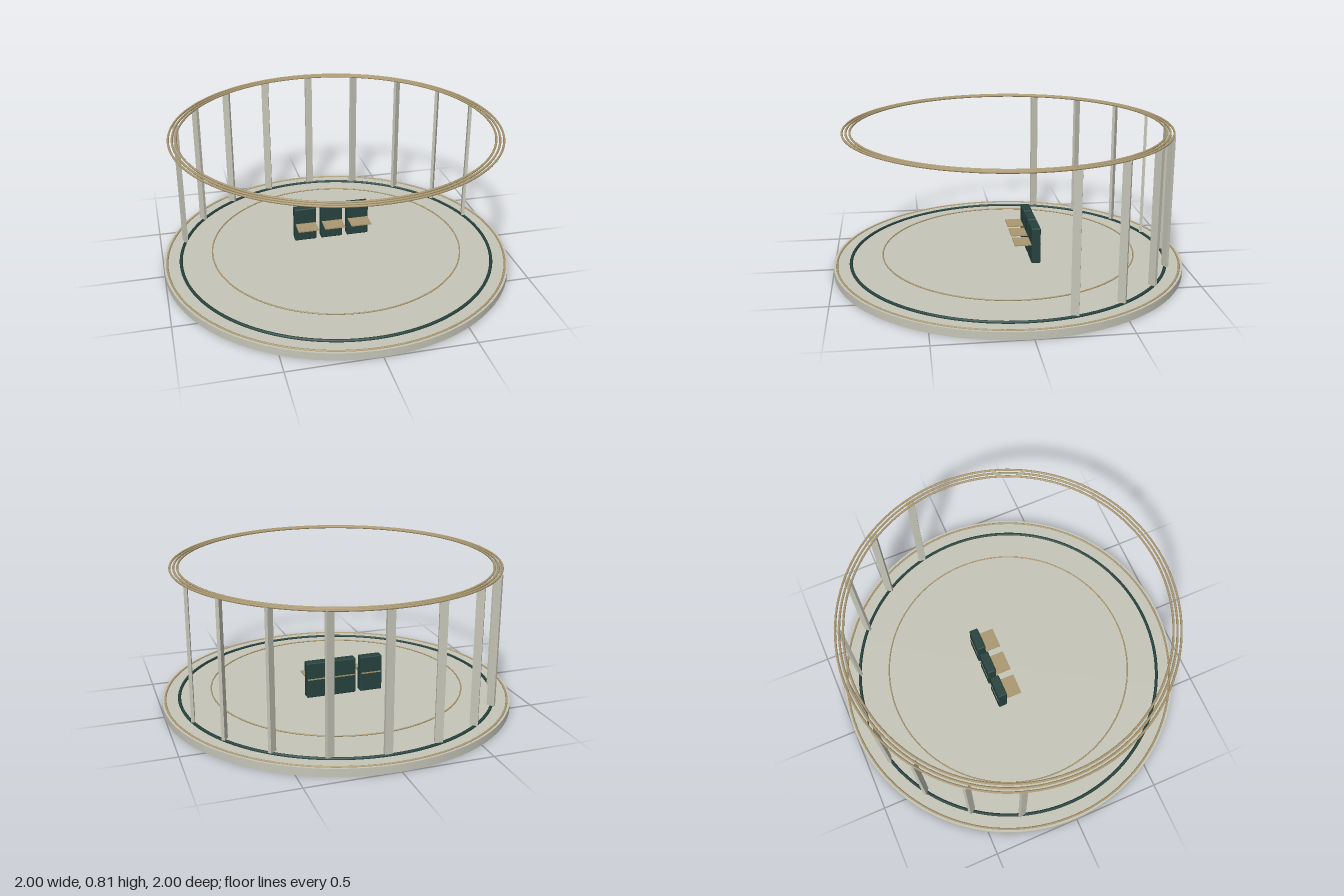
import * as THREE from 'three';
import { RoundedBoxGeometry } from 'three/addons/geometries/RoundedBoxGeometry.js';

export function createModel() {
  const model = new THREE.Group();
  model.name = 'roundPavilion';

  const material = (name, color) => {
    const m = new THREE.MeshStandardMaterial({ color });
    m.name = name;
    return m;
  };
  const stone = material('pale stone', 0xc6c5b8);
  const green = material('dark green', 0x26423e);
  const bronze = material('bronze', 0xaa9870);

  const add = (name, geometry, mat, x, y, z, parent = model) => {
    const mesh = new THREE.Mesh(geometry, mat);
    mesh.name = name;
    mesh.position.set(x, y, z);
    parent.add(mesh);
    return mesh;
  };
  const ring = (name, radius, tube, y, mat) => {
    const geometry = new THREE.TorusGeometry(radius, tube, 8, 128);
    geometry.rotateX(Math.PI / 2);
    return add(name, geometry, mat, 0, y, 0);
  };

  // Round floor slab with its rim, track and floating inner circle
  add('floorSlab', new THREE.CylinderGeometry(1, 1, 0.043, 128), stone, 0, 0.0215, 0);
  ring('floorRim', 0.982, 0.006, 0.043, bronze);
  ring('floorTrack', 0.903, 0.009, 0.046, green);
  ring('innerCircle', 0.722, 0.004, 0.081, bronze);

  // Overhead rails
  for (const radius of [0.872, 0.893, 0.914]) ring('topRail', radius, 0.006, 0.808, bronze);

  // Flat posts along the back arc
  const postGeometry = new THREE.BoxGeometry(0.043, 0.748, 0.018);
  for (let i = -4; i <= 4; i++) {
    const angle = 0.037 + i * 0.322;
    const post = add('post', postGeometry, stone,
      0.903 * Math.sin(angle), 0.431, -0.903 * Math.cos(angle));
    post.rotation.y = angle;
  }

  // Three seats in a row, each a padded panel with a thin shelf through it
  const backGeometry = new RoundedBoxGeometry(0.13, 0.207, 0.052, 2, 0.007);
  const shelfGeometry = new THREE.BoxGeometry(0.12, 0.007, 0.147);
  for (const x of [-0.159, -0.001, 0.157]) {
    const seat = new THREE.Group();
    seat.name = 'seat';
    seat.position.x = x;
    model.add(seat);
    add('seatBack', backGeometry, green, 0, 0.173, -0.13, seat);
    add('seatShelf', shelfGeometry, bronze, 0, 0.179, -0.0845, seat);
  }

  return model;
}
